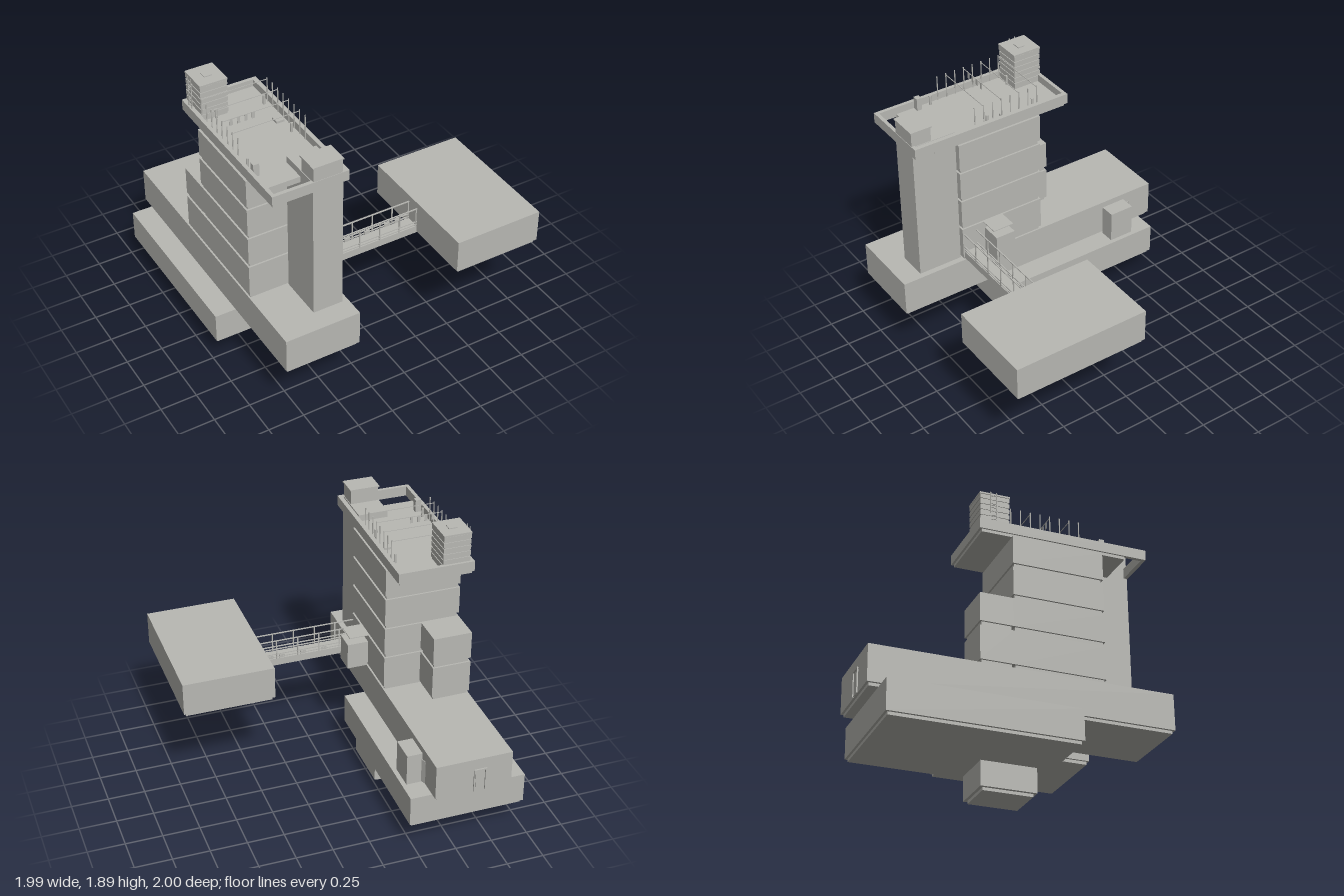
import * as THREE from 'three';

export function createModel() {
  const model = new THREE.Group();
  const concrete = new THREE.MeshStandardMaterial({ color: 0xb8b8b3 });
  concrete.name = 'concrete grey';

  // Box given by its limits on each axis
  function box(name, x0, x1, y0, y1, z0, z1, parent = model) {
    const mesh = new THREE.Mesh(new THREE.BoxGeometry(x1 - x0, y1 - y0, z1 - z0), concrete);
    mesh.position.set((x0 + x1) / 2, (y0 + y1) / 2, (z0 + z1) / 2);
    mesh.name = name;
    parent.add(mesh);
    return mesh;
  }
  // Block standing on a slightly inset shadow-gap plinth
  function block(name, x0, x1, y0, y1, z0, z1, gap = 0.02, inset = 0.015) {
    const g = new THREE.Group();
    g.name = name;
    box(name + 'Body', x0, x1, y0, y1, z0, z1, g);
    box(name + 'Plinth', x0 + inset, x1 - inset, y0 - gap, y0, z0 + inset, z1 - inset, g);
    model.add(g);
  }
  function rod(name, x, y0, y1, z, r) {
    const mesh = new THREE.Mesh(new THREE.CylinderGeometry(r, r, y1 - y0, 8), concrete);
    mesh.position.set(x, (y0 + y1) / 2, z);
    mesh.name = name;
    model.add(mesh);
  }

  const L = -0.865, R = -0.345;

  // Stacked base blocks and the separate wing
  block('footBlock', -0.55, -0.255, 0.02, 0.188, -0.165, 0.205, 0.02, 0.02);
  block('lowerSlab', -1, -0.21, 0.205, 0.412, -0.915, 0.32);
  block('middleSlab', L, R, 0.432, 0.675, -0.99, 1);
  block('sideWing', 0.37, 0.99, 0.698, 0.925, 0.055, 1, 0.023);
  box('sideBox', R, -0.24, 0.412, 0.632, -0.765, -0.59);

  // Tower storeys
  const storeys = [[0.698, 0.925], [0.955, 1.147], [1.175, 1.367], [1.395, 1.585]];
  storeys.forEach(([y0, y1], i) => {
    block('storey' + (i + 1), L, R, y0, y1, -0.07, 0.545, i ? 0.03 : 0.023, 0.012);
    if (i < 2) block('rearRoom' + (i + 1), L, -0.6, y0, y1, -0.29, -0.07, i ? 0.03 : 0.023, 0.012);
  });

  // Lift and stair core rising through the roof
  box('stairCore', -0.59, -0.385, 0.675, 1.67, 0.545, 0.855);
  box('coreHead', -0.585, -0.39, 1.67, 1.77, 0.715, 0.855);
  box('coreCap', -0.592, -0.383, 1.768, 1.777, 0.708, 0.86);

  // Roof deck with parapet, left open beyond the deck at the front
  box('roofSoffit', L + 0.015, R - 0.015, 1.585, 1.605, -0.272, 0.71);
  box('roofDeck', L + 0.01, R - 0.01, 1.605, 1.625, -0.28, 0.71);
  box('parapetRight', L + 0.005, L + 0.03, 1.605, 1.675, -0.287, 0.858);
  box('parapetLeft', R - 0.03, R, 1.605, 1.675, -0.287, 0.858);
  box('parapetBack', L + 0.03, R - 0.03, 1.605, 1.675, -0.287, -0.262);
  box('parapetFront', L + 0.03, R - 0.03, 1.605, 1.675, 0.833, 0.858);

  // Louvred roof hut
  box('roofHut', -0.828, -0.652, 1.62, 1.88, -0.27, -0.082);
  for (let i = 0; i < 6; i++) {
    const y = 1.64 + i * 0.04;
    box('hutLouvre', -0.833, -0.647, y, y + 0.03, -0.275, -0.077);
  }
  box('hutRoof', -0.835, -0.645, 1.872, 1.884, -0.277, -0.075);
  box('hutHatch', -0.765, -0.71, 1.884, 1.89, -0.2, -0.15);

  // Ladder beside the hut
  for (const z of [-0.21, -0.17]) box('ladderRail', -0.85, -0.845, 1.64, 1.885, z - 0.003, z + 0.003);
  for (let i = 0; i < 8; i++) box('ladderRung', -0.85, -0.845, 1.66 + i * 0.028, 1.664 + i * 0.028, -0.21, -0.17);

  // Drying poles, lines and washing
  for (let i = 0; i < 8; i++) {
    const z = 0.4 - i * 0.067;
    for (const x of [-0.832, -0.378]) rod('dryingPole', x, 1.625, 1.8, z, 0.004);
    if (i % 2) box('dryingLine', -0.832, -0.378, 1.788, 1.792, z - 0.002, z + 0.002);
  }
  [-0.77, -0.72, -0.67, -0.62].forEach((x) => box('washing', x - 0.01, x + 0.01, 1.745, 1.79, 0.197, 0.201));

  // Small roof fittings
  box('roofChest', -0.59, -0.49, 1.625, 1.665, 0.62, 0.68);
  box('roofBench', -0.485, -0.4, 1.645, 1.655, 0.63, 0.68);
  for (const x of [-0.48, -0.41]) box('benchLeg', x - 0.005, x + 0.005, 1.625, 1.645, 0.635, 0.675);
  box('chimney', -0.83, -0.79, 1.625, 1.712, 0.545, 0.58);
  box('skylight', -0.45, -0.395, 1.625, 1.64, 0.12, 0.175);
  [[-0.735, -0.07], [-0.41, -0.055], [-0.41, 0.29], [-0.81, 0.47]].forEach(([x, z]) => rod('ventPipe', x, 1.625, 1.69, z, 0.009));

  // Footbridge with railings on both sides
  box('bridgeDeck', -0.37, 0.38, 0.69, 0.742, 0.435, 0.535);
  for (const z of [0.439, 0.531]) {
    for (const y of [0.755, 0.777, 0.88]) box('bridgeRail', -0.36, 0.37, y - 0.003, y + 0.003, z - 0.004, z + 0.004);
    for (const x of [-0.35, -0.21, -0.062, 0.088, 0.238, 0.362]) box('bridgePost', x - 0.004, x + 0.004, 0.742, 0.88, z - 0.004, z + 0.004);
  }
  for (const x of [-0.1, 0.05, 0.2, 0.28]) box('bridgeBracket', x - 0.02, x + 0.02, 0.745, 0.768, 0.437, 0.445);

  // Porch box and thin canopy on the tower side
  box('porch', R, -0.2, 0.69, 0.875, 0.235, 0.375);
  box('porchCanopy', R, -0.215, 0.922, 0.927, 0.235, 0.385);

  // Back door and frame, side door left ajar
  box('backDoor', -0.675, -0.615, 0.435, 0.585, -0.994, -0.99);
  for (const x of [-0.687, -0.61]) box('doorJamb', x, x + 0.008, 0.432, 0.595, -0.999, -0.99);
  box('doorHead', -0.69, -0.6, 0.59, 0.598, -1, -0.99);
  const sideDoor = box('sideDoor', -0.345, -0.34, 0.432, 0.6, -0.83, -0.78);
  sideDoor.rotation.y = 0.35;
  return model;
}
